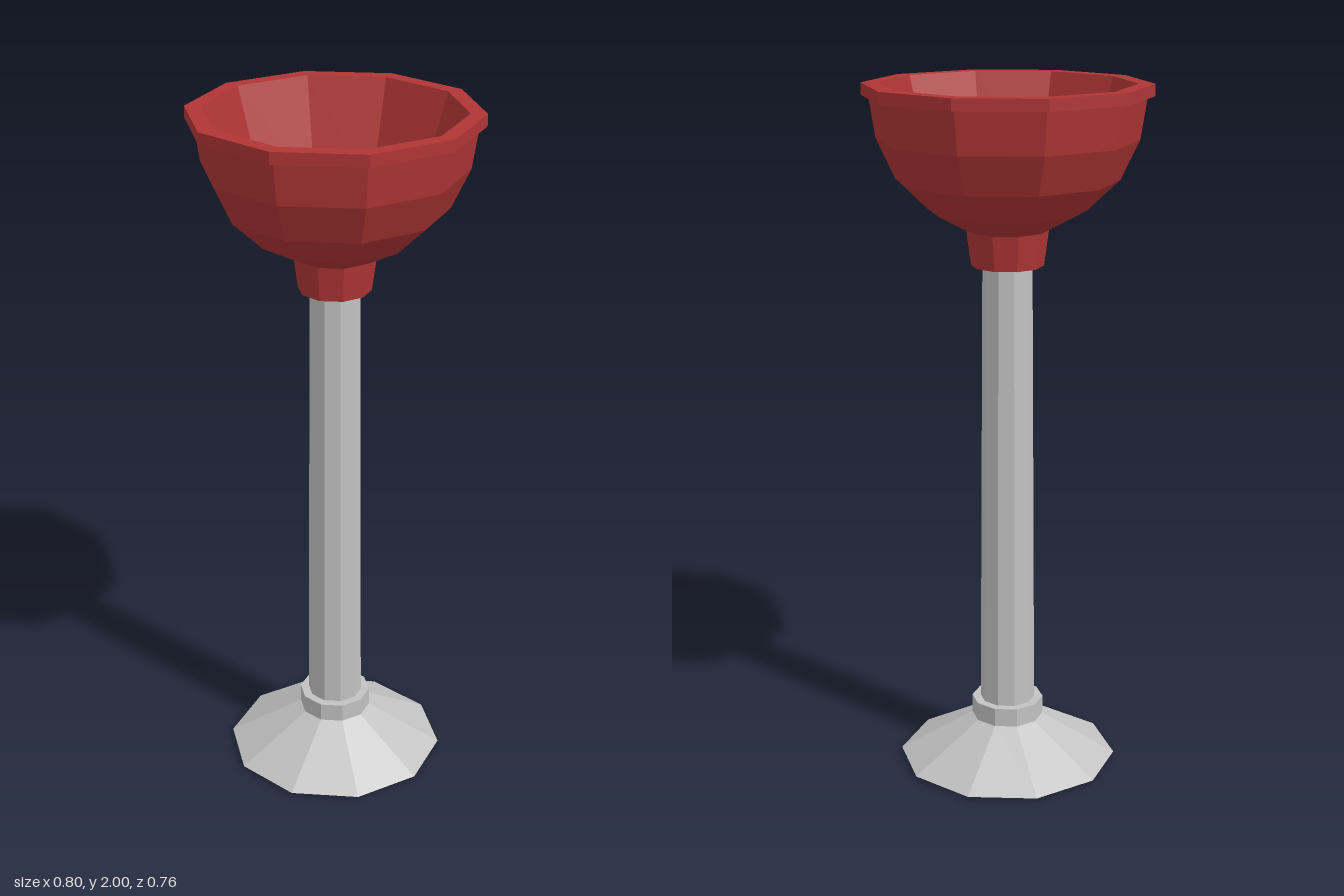
import * as THREE from 'three';

const SIDES = 10;

// Faceted ten-sided turning from [radius, height] pairs, with corners on the x axis
function turned(name, profile, material) {
  const points = profile.map(([r, y]) => new THREE.Vector2(r, y));
  const geometry = new THREE.LatheGeometry(points, SIDES, Math.PI / 2).toNonIndexed();
  geometry.computeVertexNormals();
  const mesh = new THREE.Mesh(geometry, material);
  mesh.name = name;
  return mesh;
}

export function createModel() {
  const red = new THREE.MeshStandardMaterial({ color: 0xb03535 });
  red.name = 'red';
  const grey = new THREE.MeshStandardMaterial({ color: 0xc2c2c2 });
  grey.name = 'light grey';

  const model = new THREE.Group();
  model.name = 'pedestalBowl';

  model.add(
    // Flared foot with a slightly domed underside
    turned('foot', [[0, 0], [0.2, 0], [0.32, 0.01], [0.1, 0.137], [0, 0.137]], grey),
    // Ring around the bottom of the column
    turned('collar', [[0, 0.135], [0.105, 0.135], [0.105, 0.19], [0, 0.19]], grey),
    // Slightly tapering column
    turned('column', [[0.08, 0.18], [0.07, 1.52]], grey),
    // Socket joining column and bowl
    turned('socket', [[0, 1.5], [0.102, 1.5], [0.116, 1.605]], red),
    // Bowl: outer wall, stepped rim, inner wall and floor
    turned('bowl', [
      [0, 1.6], [0.116, 1.6], [0.22, 1.655], [0.31, 1.74], [0.362, 1.85], [0.38, 1.967],
      [0.4, 1.967], [0.4, 2], [0.355, 2], [0.265, 1.71], [0, 1.71],
    ], red),
  );
  return model;
}
